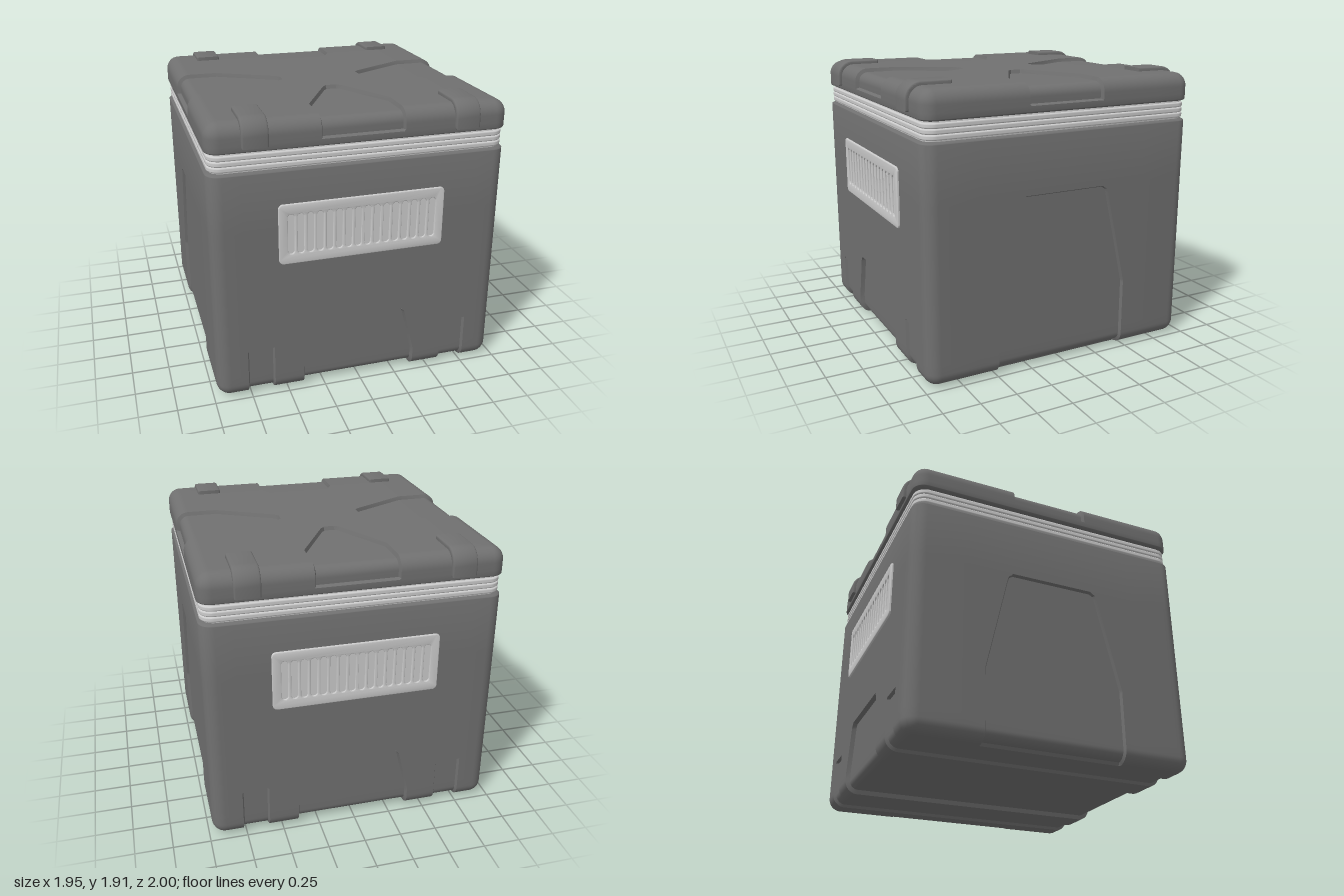
import * as THREE from 'three';
import { toCreasedNormals } from 'three/addons/utils/BufferGeometryUtils.js';

const HALF = 0.975, R = 0.09, EPS = 1e-4;
const dark = new THREE.MeshStandardMaterial({ color: 0x707070 });
const light = new THREE.MeshStandardMaterial({ color: 0xcccccc });

// Piecewise linear lookup through [t, value] knots
function lookup(knots, t) {
  if (t <= knots[0][0]) return knots[0][1];
  for (let i = 1; i < knots.length; i++) {
    const [t0, v0] = knots[i - 1], [t1, v1] = knots[i];
    if (t <= t1) return v0 + (v1 - v0) * (t - t0) / (t1 - t0);
  }
  return knots[knots.length - 1][1];
}

// Slides the grid line at ref to edge, keeping a narrow step beside it; unchanged beyond fix
function warp(x, ref, edge, fix) {
  return Math.sign(x) * lookup([[0, 0], [ref, edge], [ref + 0.01, edge + 0.01], [fix, fix], [2, 2]], Math.abs(x));
}

const arcSteps = [0, 1, 2, 3, 4, 5].map(k => Math.tan(k * Math.PI / 20));
const sorted = list => [...new Set(list)].sort((a, b) => a - b);
function sideLines(breaks) {
  const half = [...breaks, ...arcSteps.map(t => HALF - R + R * t)];
  return sorted([0, ...half, ...half.map(v => -v)]);
}

// Rounded box made of six matching grids; depth(p) sinks recesses, slide(p) shapes their outlines
function recessedBox({ x, z, y, bottom, top, rBottom, rTop, depth, slide }) {
  const yLines = sorted([...y, ...arcSteps.map(t => bottom + rBottom * (1 - t)), ...arcSteps.map(t => top - rTop * (1 - t))]);
  const lines = [sideLines(x), yLines, sideLines(z)];
  const place = p => {
    const q = slide(p);
    const radius = [R, q[1] > 0.5 * (bottom + top) ? rTop : rBottom, R];
    const lo = [R - HALF, bottom + rBottom, R - HALF], hi = [HALF - R, top - rTop, HALF - R];
    const inner = q.map((v, i) => Math.min(hi[i], Math.max(lo[i], v)));
    const n = q.map((v, i) => (v - inner[i]) / radius[i]);
    const len = Math.hypot(...n), d = depth(p);
    return inner.map((v, i) => v + (n[i] / len) * (radius[i] - d));
  };
  const pos = [];
  for (let a = 0; a < 3; a++) {
    const b = (a + 1) % 3, c = (a + 2) % 3, A = lines[a], B = lines[b], C = lines[c];
    for (const end of [0, A.length - 1]) {
      const grid = B.map(u => C.map(v => {
        const p = [0, 0, 0];
        p[a] = A[end]; p[b] = u; p[c] = v;
        return place(p);
      }));
      for (let i = 0; i < B.length - 1; i++) for (let j = 0; j < C.length - 1; j++) {
        let quad = [grid[i][j], grid[i + 1][j], grid[i + 1][j + 1], grid[i][j + 1]];
        if (end === 0) quad = quad.reverse();
        for (const k of [0, 1, 2, 0, 2, 3]) pos.push(...quad[k]);
      }
    }
  }
  const g = new THREE.BufferGeometry();
  g.setAttribute('position', new THREE.Float32BufferAttribute(pos, 3));
  return toCreasedNormals(g, 0.55);
}

function roundedRect(w, h, r, Type = THREE.Shape) {
  const s = new Type(), x = w / 2, y = h / 2;
  s.absarc(x - r, y - r, r, 0, Math.PI / 2);
  s.absarc(r - x, y - r, r, Math.PI / 2, Math.PI);
  s.absarc(r - x, r - y, r, Math.PI, Math.PI * 1.5);
  s.absarc(x - r, r - y, r, Math.PI * 1.5, Math.PI * 2);
  s.closePath();
  return s;
}

// Extrusion whose total thickness includes its bevels, centred on z
function slab(shape, thickness, bevel) {
  const g = new THREE.ExtrudeGeometry(shape, {
    depth: thickness - 2 * bevel, bevelThickness: bevel, bevelSize: bevel,
    bevelOffset: -bevel, bevelSegments: 3, curveSegments: 8,
  });
  return toCreasedNormals(g.translate(0, 0, bevel - thickness / 2), 0.6);
}

function add(parent, name, geometry, material) {
  const mesh = new THREE.Mesh(geometry, material);
  mesh.name = name;
  parent.add(mesh);
  return mesh;
}

// Body: a wide channel and two strap channels run under it, a tall panel is sunk in each side
function bodyGeometry() {
  const channel = [[0, 0.38], [0.15, 0.38], [0.45, 0.308], [0.465, 0.302], [0.48, 0.285]];
  const panel = [[0.48, 0.47], [1.13, 0.318], [1.155, 0.308], [1.17, 0.285]];
  return recessedBox({
    x: [0.38, 0.39, 0.55, 0.59, 0.6, 0.76, 0.77], z: [0.47, 0.48, 0.6],
    y: [0.15, 0.33, 0.34, 0.45, 0.465, 0.48, 0.49, 1.13, 1.155, 1.17, 1.18],
    bottom: 0, top: 1.58, rBottom: 0.09, rTop: 0.02,
    slide: ([x, y, z]) => [warp(x, 0.38, lookup(channel, y), 0.55), y, warp(z, 0.47, lookup(panel, y), 0.6)],
    depth: ([x, y, z]) => {
      const ax = Math.abs(x), az = Math.abs(z);
      if (ax < 0.38 + EPS && y < 0.48 + EPS) return 0.03;
      if (ax > 0.6 - EPS && ax < 0.76 + EPS && y < 0.33 + EPS) return 0.02;
      if (ax > HALF - R + EPS && az < 0.47 + EPS && y < 1.17 + EPS) return 0.02;
      return 0;
    },
  });
}

// Lid: four wedges point at the centre and fold over the edges
function lidGeometry() {
  const wedge = [[0.28, 0.03], [0.29, 0.035], [0.31, 0.055], [0.69, 0.26]];
  const breaks = [0.24, 0.25, 0.28, 0.29, 0.31, 0.69];
  const slideTo = (u, v) => Math.abs(v) > 0.28 - EPS ? warp(u, 0.24, lookup(wedge, Math.abs(v)), 0.28) : u;
  const inWedge = (u, v) => Math.abs(u) < 0.24 + EPS && Math.abs(v) > 0.29 - EPS;
  return recessedBox({
    x: breaks, z: breaks, y: [1.745, 1.755],
    bottom: 1.69, top: 1.885, rBottom: 0.02, rTop: 0.09,
    slide: ([x, y, z]) => [slideTo(x, z), y, slideTo(z, x)],
    depth: ([x, y, z]) => y > 1.755 - EPS && (inWedge(x, z) || inWedge(z, x)) ? 0.025 : 0,
  });
}

// Clip: bent strap hugging the lid edge, drawn in (z, y)
function clipGeometry() {
  const s = new THREE.Shape();
  s.moveTo(0.69, 1.86);
  s.lineTo(0.69, 1.91);
  s.lineTo(0.89, 1.91);
  s.absarc(0.89, 1.8, 0.11, Math.PI / 2, 0, true);
  s.lineTo(1, 1.73);
  s.lineTo(0.95, 1.73);
  s.lineTo(0.95, 1.8);
  s.absarc(0.89, 1.8, 0.06, 0, Math.PI / 2, false);
  s.closePath();
  return slab(s, 0.165, 0.012).rotateY(-Math.PI / 2);
}

// Vent plate pierced by sixteen upright slots
function ventGeometry() {
  const plate = roundedRect(1.1, 0.405, 0.03);
  for (let i = 0; i < 16; i++) {
    const slot = roundedRect(0.042, 0.27, 0.0205, THREE.Path);
    const points = slot.getPoints(8).map(p => new THREE.Vector2(p.x + (i - 7.5) * 0.0627, p.y));
    plate.holes.push(new THREE.Path(points));
  }
  return slab(plate, 0.024, 0.006);
}

export function createModel() {
  const model = new THREE.Group();
  model.name = 'coolBox';
  add(model, 'body', bodyGeometry(), dark);
  add(model, 'lid', lidGeometry(), dark);

  // Ribbed seal between body and lid
  const seal = new THREE.Group();
  seal.name = 'seal';
  model.add(seal);
  const core = slab(roundedRect(1.895, 1.895, 0.075), 0.14, 0.005).rotateX(-Math.PI / 2);
  add(seal, 'sealCore', core, light).position.y = 1.635;
  const rib = slab(roundedRect(1.925, 1.925, 0.085), 0.033, 0.01).rotateX(-Math.PI / 2);
  for (let i = 0; i < 3; i++) add(seal, 'sealRib', rib, light).position.y = 1.6 + i * 0.035;

  // Front and back carry the same clips and vent
  const clip = clipGeometry(), vent = ventGeometry();
  const backing = new THREE.PlaneGeometry(1.04, 0.34);
  for (const [name, turn] of [['frontFittings', 0], ['backFittings', Math.PI]]) {
    const side = new THREE.Group();
    side.name = name;
    side.rotation.y = turn;
    model.add(side);
    for (const s of [-1, 1]) add(side, 'lidClip', clip, dark).position.x = s * 0.68;
    add(side, 'ventPlate', vent, light).position.set(0, 1.147, 0.976);
    add(side, 'ventBacking', backing, light).position.set(0, 1.147, 0.978);
  }
  return model;
}
